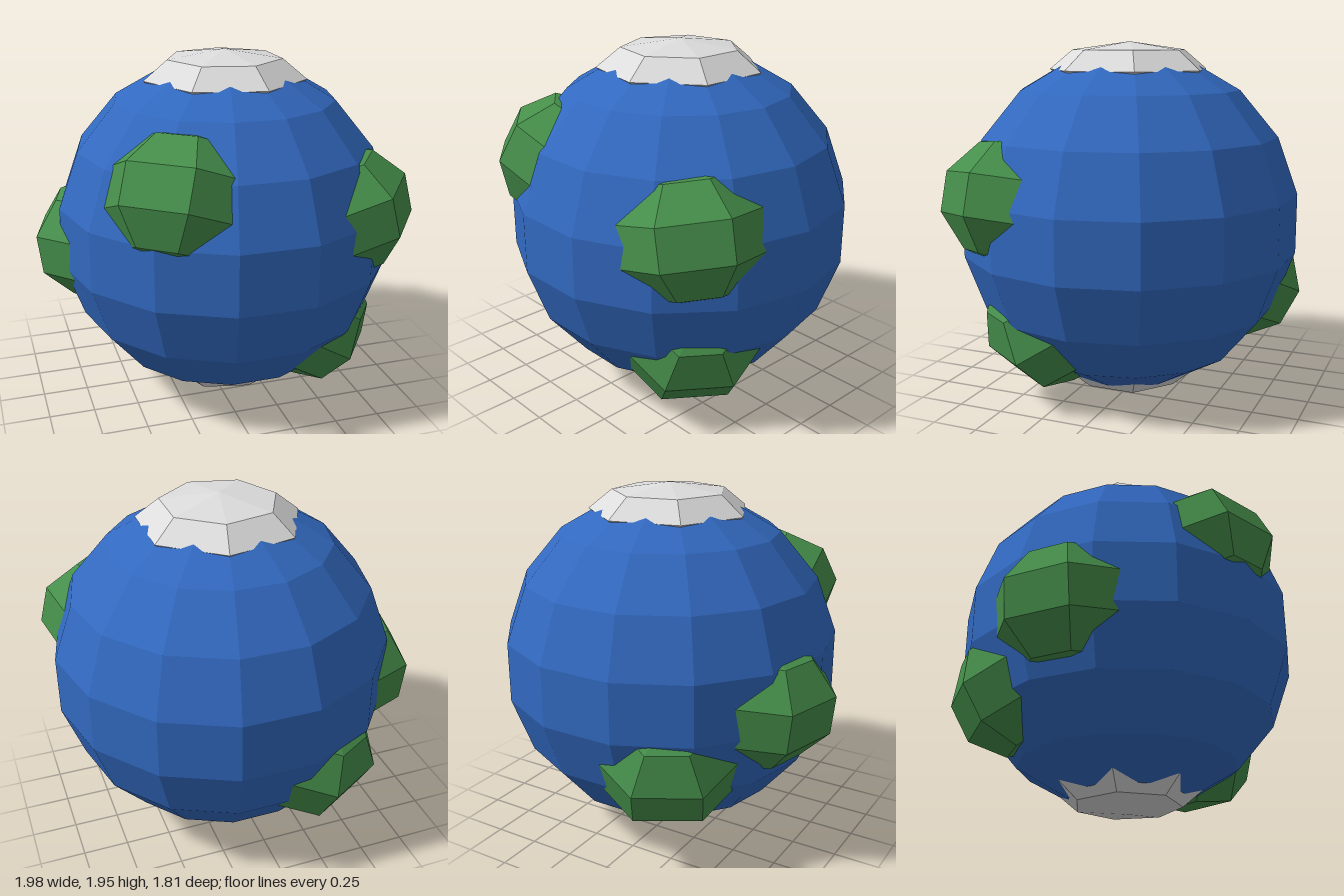
import * as THREE from 'three';

const CENTRE = new THREE.Vector3(0.075, 0.972, 0.03);

function flat(name, color) {
  const m = new THREE.MeshStandardMaterial({ color, flatShading: true });
  m.name = name;
  return m;
}

export function createModel() {
  const group = new THREE.Group();
  group.name = 'planet';
  const ocean = flat('oceanBlue', 0x3269c0);
  const land = flat('landGreen', 0x468f4b);
  const ice = flat('iceWhite', 0xdcdcdc);

  const add = (name, geometry, material) => {
    const mesh = new THREE.Mesh(geometry, material);
    mesh.name = name;
    group.add(mesh);
    return mesh;
  };

  // Ocean globe
  add('ocean', new THREE.SphereGeometry(0.94, 14, 9), ocean).position.copy(CENTRE);

  // Flattened polar ice caps
  const cap = (name, radius, height, y) => {
    const mesh = add(name, new THREE.SphereGeometry(1, 7, 4).scale(radius, height, radius), ice);
    mesh.position.set(CENTRE.x, y, CENTRE.z);
  };
  cap('northIceCap', 0.448, 0.15, 1.8);
  cap('southIceCap', 0.42, 0.147, 0.149);

  // Continents: oval lumps sunk into the globe, a flat side facing outward
  const lump = new THREE.SphereGeometry(1, 7, 5).rotateY(-Math.PI / 2).scale(0.43, 0.35, 0.4);
  const continents = [
    ['upperFrontContinent', [-0.475, 0.41, 0.62], 0],
    ['upperSideContinent', [0.69, 0.2, 0.56], 0.1],
    ['westContinent', [-0.96, -0.12, -0.25], 0],
    ['lowerFrontContinent', [0.5, -0.63, 0.36], 0],
    ['lowerBackContinent', [-0.4, -0.45, -0.68], 0],
  ];
  for (const [name, direction, roll] of continents) {
    const normal = new THREE.Vector3(...direction).normalize();
    const mesh = add(name, lump, land);
    mesh.position.copy(CENTRE).addScaledVector(normal, 0.69);
    mesh.lookAt(CENTRE.clone().addScaledVector(normal, 3));
    mesh.rotateZ(roll);
  }
  return group;
}
